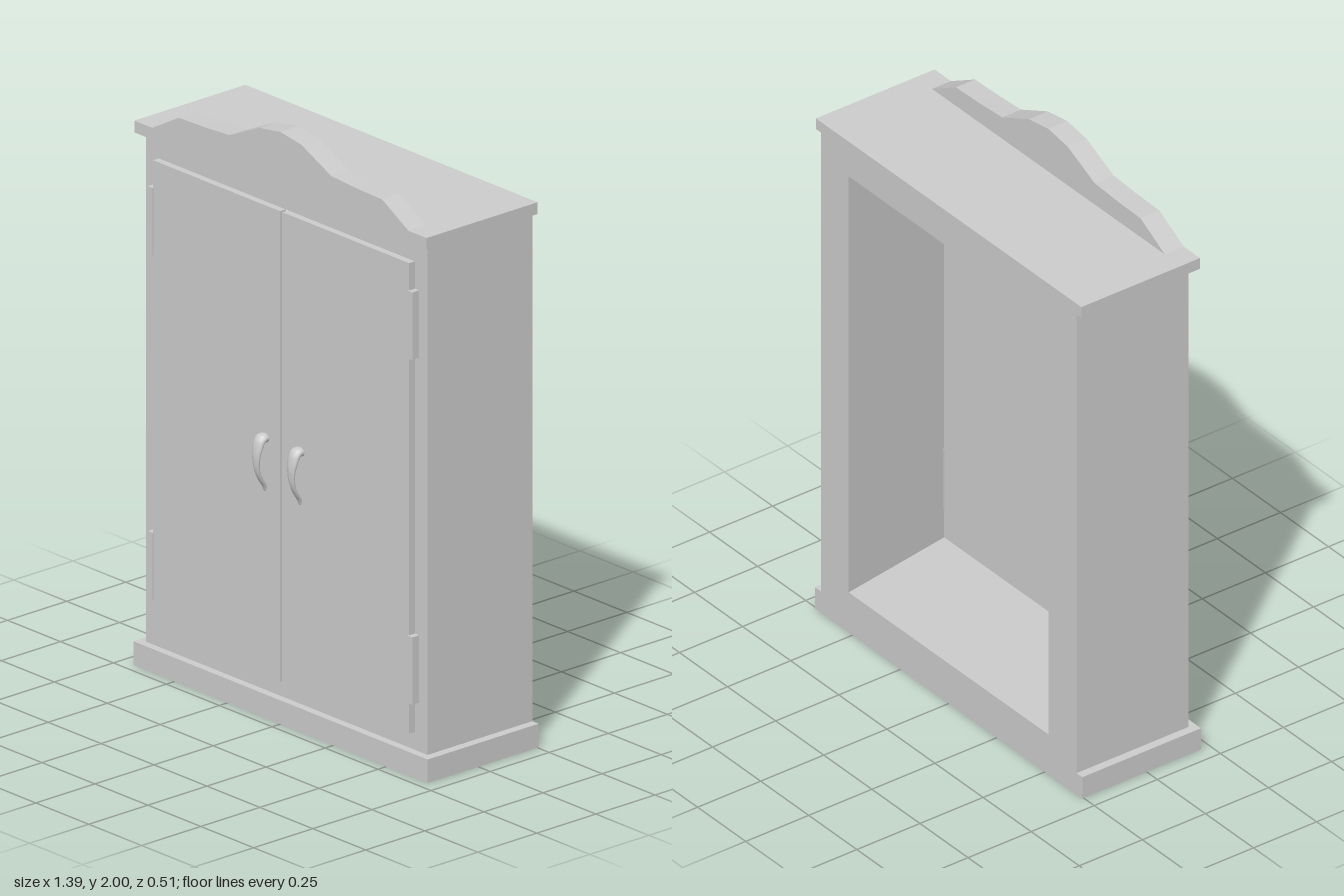
import * as THREE from 'three';

const BACK = -0.255, FRONT = 0.215, BODY_FRONT = 0.188;
const grey = new THREE.MeshStandardMaterial({ color: 0xcccccc });
const greyThin = new THREE.MeshStandardMaterial({ color: 0xcccccc, side: THREE.DoubleSide });
const greyFlat = new THREE.MeshStandardMaterial({ color: 0xcccccc, side: THREE.DoubleSide, flatShading: true });

function add(group, name, geometry, material = grey) {
  const mesh = new THREE.Mesh(geometry, material);
  mesh.name = name;
  group.add(mesh);
  return mesh;
}

// Box given by its limits on each axis
function box(group, name, x0, x1, y0, y1, z0, z1) {
  const mesh = add(group, name, new THREE.BoxGeometry(x1 - x0, y1 - y0, z1 - z0));
  mesh.position.set((x0 + x1) / 2, (y0 + y1) / 2, (z0 + z1) / 2);
}

const rect = (Type, x, y0, y1) => new Type([
  new THREE.Vector2(-x, y0), new THREE.Vector2(x, y0),
  new THREE.Vector2(x, y1), new THREE.Vector2(-x, y1),
]);

// Flat sheet with a rectangular opening
function frame(x, y0, y1, hx, hy0, hy1) {
  const shape = rect(THREE.Shape, x, y0, y1);
  shape.holes.push(rect(THREE.Path, hx, hy0, hy1));
  return new THREE.ShapeGeometry(shape);
}

// Skin between successive cross-sections of equal point count
function loft(loops) {
  const n = loops[0].length, index = [];
  for (let i = 0; i < loops.length - 1; i++) {
    for (let j = 0; j < n; j++) {
      const a = i * n + j, b = i * n + (j + 1) % n;
      index.push(a, b, b + n, a, b + n, a + n);
    }
  }
  const g = new THREE.BufferGeometry();
  g.setAttribute('position', new THREE.Float32BufferAttribute(loops.flat(2), 3));
  g.setIndex(index);
  g.computeVertexNormals();
  return g;
}

const loopXY = (x, y0, y1, z) => [[-x, y0, z], [x, y0, z], [x, y1, z], [-x, y1, z]];
const loopXZ = (x, y, z0, z1) => [[-x, y, z1], [x, y, z1], [x, y, z0], [-x, y, z0]];

// Curved pull, broad and rounded at the top and narrow at the foot
function handleGeometry() {
  const path = new THREE.CatmullRomCurve3([
    [0.205, 0.945], [0.228, 0.945], [0.243, 0.915], [0.248, 0.875],
    [0.242, 0.835], [0.226, 0.803], [0.214, 0.785], [0.208, 0.765],
  ].map(([z, y]) => new THREE.Vector3(0, y, z)));
  const widths = [0.022, 0.024, 0.022, 0.016, 0.012, 0.012, 0.012, 0.009];
  const depths = [0.016, 0.015, 0.01, 0.007, 0.006, 0.006, 0.006, 0.004];
  const sample = (list, t) => {
    const f = t * (list.length - 1), i = Math.min(Math.floor(f), list.length - 2);
    return THREE.MathUtils.lerp(list[i], list[i + 1], f - i);
  };
  const steps = 28, sides = 14, loops = [];
  for (let i = 0; i <= steps; i++) {
    const t = i / steps, p = path.getPoint(t), d = path.getTangent(t);
    const w = sample(widths, t), h = sample(depths, t), loop = [];
    for (let j = 0; j < sides; j++) {
      const a = (j / sides) * Math.PI * 2, s = h * Math.sin(a);
      loop.push([w * Math.cos(a), p.y + d.z * s, p.z - d.y * s]);
    }
    loops.push(loop);
  }
  // close the foot
  loops.push(loops[steps].map(() => [0, 0.763, 0.208]));
  return loft(loops);
}

export function createModel() {
  const model = new THREE.Group();
  model.name = 'cabinet';

  // Hollow plinth, open underneath, with a ledge up to the body
  const plinth = new THREE.Group();
  plinth.name = 'plinth';
  model.add(plinth);
  add(plinth, 'plinthWalls', loft([loopXZ(0.695, 0, BACK, FRONT), loopXZ(0.695, 0.08, BACK, FRONT)]), greyFlat);
  add(plinth, 'plinthLedge', loft([
    loopXZ(0.695, 0.08, BACK, FRONT), loopXZ(0.665, 0.08, BACK, BODY_FRONT),
  ]), greyFlat);

  // Thin outer carcass with open front and back
  const body = new THREE.Group();
  body.name = 'body';
  model.add(body);
  for (const s of [-1, 1]) {
    const side = add(body, 'sidePanel', new THREE.PlaneGeometry(BODY_FRONT - BACK, 1.72), greyThin);
    side.rotation.y = s * Math.PI / 2;
    side.position.set(s * 0.665, 0.94, (BODY_FRONT + BACK) / 2);
  }
  add(body, 'frontFrame', frame(0.665, 0.08, 1.8, 0.605, 0.14, 1.73), greyThin).position.z = BODY_FRONT;
  const backFrame = add(body, 'backFrame', frame(0.665, 0.08, 1.8, 0.52, 0.15, 1.71), greyThin);
  backFrame.rotation.y = Math.PI;
  backFrame.position.z = BACK;

  // Interior lining, narrowing towards the back
  add(body, 'interior', loft([
    loopXY(0.605, 0.14, 1.73, BODY_FRONT), loopXY(0.52, 0.15, 1.71, BACK),
  ]), greyFlat);

  // Top board
  box(model, 'topBoard', -0.69, 0.69, 1.8, 1.84, BACK, FRONT);

  // Shaped crest along the front of the top
  const half = [[0.605, 1.84], [0.48, 1.91], [0.36, 1.913], [0.24, 1.92], [0.1, 1.985]];
  const outline = [...half, [0, 2], ...half.map(([x, y]) => [-x, y]).reverse()];
  const crest = new THREE.ExtrudeGeometry(
    new THREE.Shape(outline.map(([x, y]) => new THREE.Vector2(x, y))),
    { depth: 0.075, bevelEnabled: false });
  add(model, 'crest', crest).position.z = 0.14;

  // Doors with hinges and handles
  const handle = handleGeometry();
  for (const [s, name] of [[-1, 'right'], [1, 'left']]) {
    const door = new THREE.Group();
    door.name = name + 'Door';
    model.add(door);
    const span = (a, b) => (s > 0 ? [a, b] : [-b, -a]);
    box(door, 'doorPanel', ...span(0.005, 0.605), 0.14, 1.73, BODY_FRONT, 0.212);
    for (const y of [0.245, 1.41]) {
      box(door, 'hinge', ...span(0.602, 0.625), y, y + 0.228, 0.182, 0.217);
    }
    add(door, 'handle', handle, greyThin).position.x = s > 0 ? 0.088 : -0.078;
  }
  return model;
}
